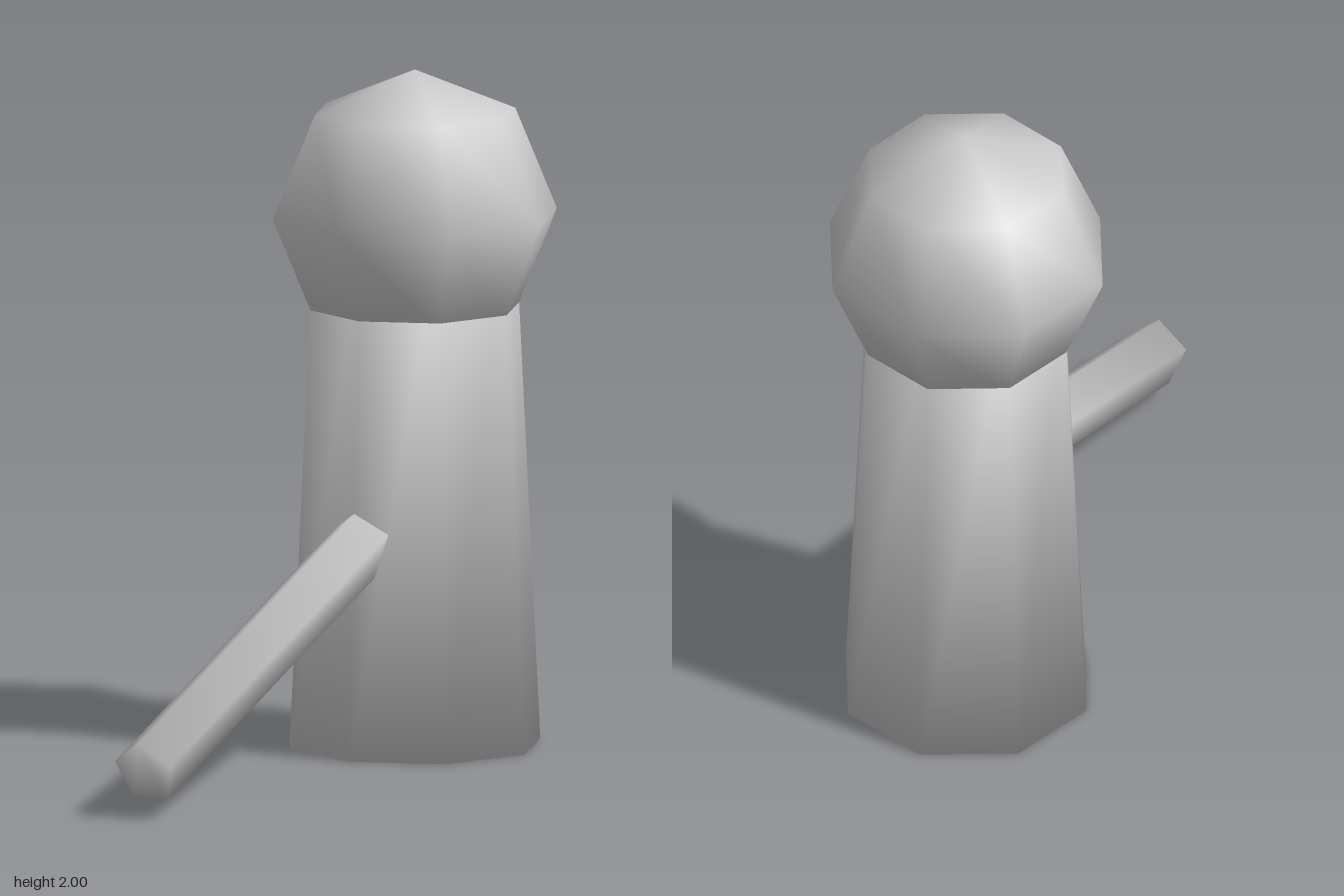
import * as THREE from 'three';

// Closed n-sided prism along +y from y = 0 to h, with normals blended over all its edges.
function softPrism(n, rBottom, rTop, h) {
  const pos = [], nor = [], idx = [];
  const radial = Math.PI * Math.cos(Math.PI / n);
  const axial = Math.PI - 2 * Math.PI / n;
  const len = Math.hypot(radial, axial);
  for (const [r, y, s] of [[rBottom, 0, -1], [rTop, h, 1]]) {
    for (let i = 0; i < n; i++) {
      const a = Math.PI + i / n * Math.PI * 2;
      pos.push(r * Math.sin(a), y, r * Math.cos(a));
      nor.push(Math.sin(a) * radial / len, s * axial / len, Math.cos(a) * radial / len);
    }
  }
  for (let i = 0; i < n; i++) {
    const j = (i + 1) % n;
    idx.push(i, j, n + j, i, n + j, n + i);
    // end caps as fans
    if (i > 0 && i < n - 1) idx.push(0, j, i, n, n + i, n + j);
  }
  const g = new THREE.BufferGeometry();
  g.setAttribute('position', new THREE.Float32BufferAttribute(pos, 3));
  g.setAttribute('normal', new THREE.Float32BufferAttribute(nor, 3));
  g.setIndex(idx);
  return g;
}

export function createModel() {
  const group = new THREE.Group();
  const grey = new THREE.MeshStandardMaterial({ color: 0xcccccc });
  grey.name = 'light grey';

  const add = (name, geometry, x, y, z) => {
    const mesh = new THREE.Mesh(geometry, grey);
    mesh.name = name;
    mesh.position.set(x, y, z);
    group.add(mesh);
    return mesh;
  };

  // tapered eight-sided post
  add('body', softPrism(8, 0.378, 0.301, 1.57), 0, 0, -0.567);

  // faceted ball on top
  add('head', new THREE.SphereGeometry(0.428, 8, 4), 0, 1.572, -0.567);

  // five-sided bar sloping forward and down from inside the post
  const tilt = THREE.MathUtils.degToRad(112.5);
  const length = 1.6;
  const bar = add('bar', softPrism(5, 0.1, 0.1, length),
    0, 0.133 - length * Math.cos(tilt), 0.956 - length * Math.sin(tilt));
  bar.rotation.x = tilt;

  return group;
}
